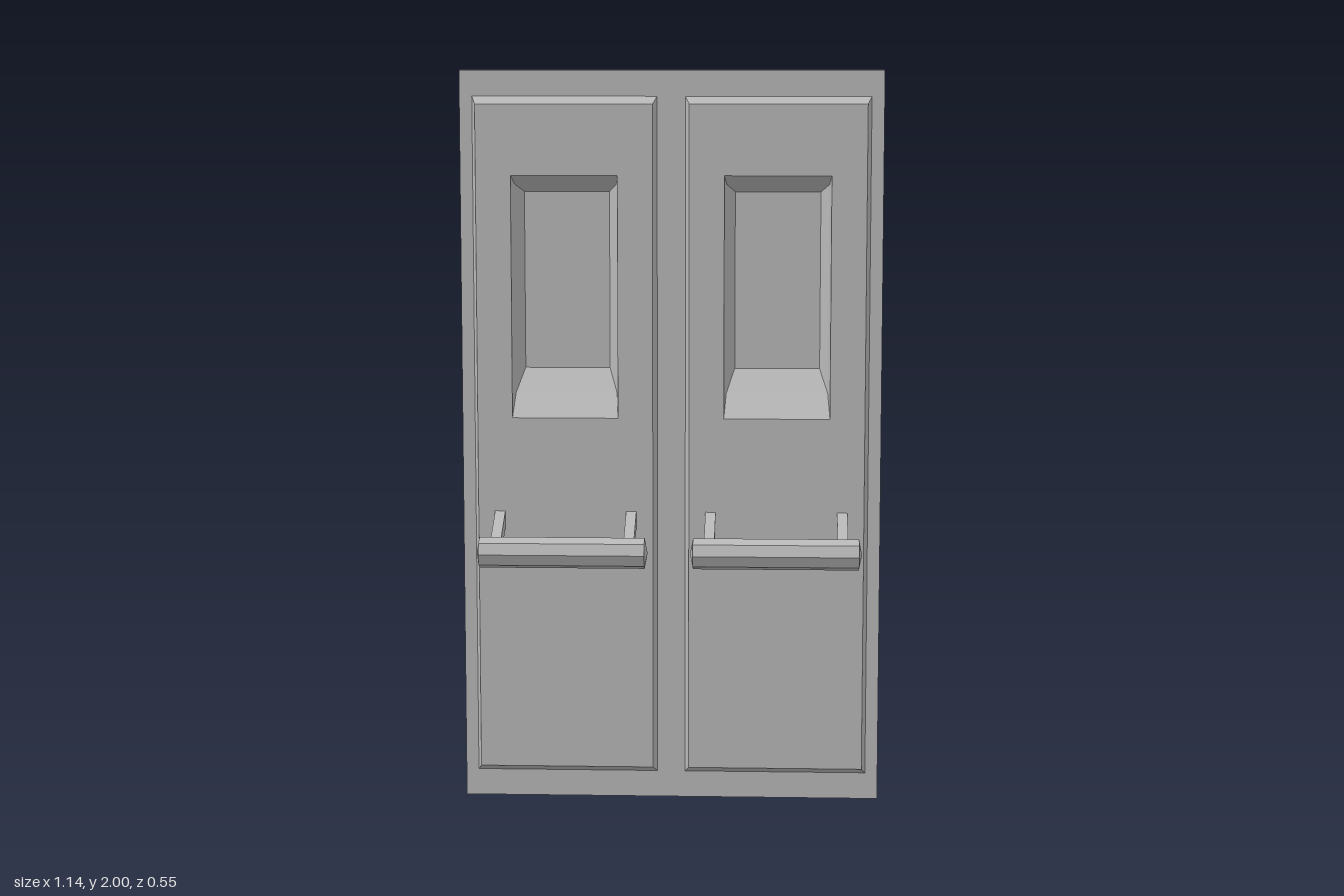
import * as THREE from 'three';

const grey = new THREE.MeshStandardMaterial({ color: 0xb8b8b8 });
grey.name = 'door grey';

const CORE_Z = 0.072, PANEL_Z = 0.105;
const LEAF_X = 0.287; // centre of each door leaf
const WINDOW = { w: 0.1435, y0: 1.064, y1: 1.72 };

function add(parent, name, geometry) {
  const mesh = new THREE.Mesh(geometry, grey);
  mesh.name = name;
  parent.add(mesh);
  return mesh;
}

// Anticlockwise corners of a rectangle centred on x = cx
const corners = (cx, w, y0, y1) => [[cx - w, y0], [cx + w, y0], [cx + w, y1], [cx - w, y1]];
const points = c => c.map(([x, y]) => new THREE.Vector2(x, y));

function shapeWithHoles(outer, holes) {
  const shape = new THREE.Shape(points(outer));
  for (const h of holes) shape.holes.push(new THREE.Path(points(h).reverse()));
  return shape;
}

// Joins successive rectangles { w, y0, y1, z } with flat quads
function loft(rings, capped) {
  const pos = [];
  const loops = rings.map(r => corners(0, r.w, r.y0, r.y1).map(([x, y]) => [x, y, r.z]));
  const quad = (a, b, c, d) => pos.push(...a, ...b, ...c, ...a, ...c, ...d);
  for (let i = 0; i + 1 < loops.length; i++) {
    for (let k = 0; k < 4; k++) {
      const n = (k + 1) % 4;
      quad(loops[i][k], loops[i][n], loops[i + 1][n], loops[i + 1][k]);
    }
  }
  if (capped) quad(...loops[loops.length - 1]);
  const g = new THREE.BufferGeometry();
  g.setAttribute('position', new THREE.Float32BufferAttribute(pos, 3));
  g.computeVertexNormals();
  return g;
}

// Octagonal push bar with shallow pointed ends, on two sloping arms
function makeHandle() {
  const handle = new THREE.Group();
  handle.name = 'handle';
  const profile = [[0, -0.23], [0.042, -0.222], [0.042, 0.222], [0, 0.23]];
  const lathe = new THREE.LatheGeometry(profile.map(([r, y]) => new THREE.Vector2(r, y)), 8);
  const barGeo = lathe.toNonIndexed();
  barGeo.computeVertexNormals();
  barGeo.rotateZ(Math.PI / 2);
  add(handle, 'pushBar', barGeo).position.set(0, 0.716, 0.231);

  // Arm side profile, drawn as (depth, height)
  const arm = new THREE.Shape(points([[0.095, 0.766], [0.222, 0.706], [0.235, 0.746], [0.095, 0.812]]));
  for (const s of [-1, 1]) {
    const g = new THREE.ExtrudeGeometry(arm, { depth: 0.028, bevelEnabled: false });
    g.translate(0, 0, -0.014);
    g.rotateY(-Math.PI / 2);
    add(handle, 'handleArm', g).position.x = s * 0.179;
  }
  return handle;
}

// One raised panel with its recessed window and handle
function makeLeaf() {
  const leaf = new THREE.Group();
  leaf.name = 'doorLeaf';
  const front = { w: 0.238, y0: 0.092, y1: 1.91, z: PANEL_Z };
  add(leaf, 'panelBevel', loft([{ w: 0.249, y0: 0.073, y1: 1.93, z: CORE_Z }, front]));

  const face = shapeWithHoles(corners(0, front.w, front.y0, front.y1),
    [corners(0, WINDOW.w, WINDOW.y0, WINDOW.y1)]);
  add(leaf, 'panelFace', new THREE.ShapeGeometry(face)).position.z = PANEL_Z;

  // Recess steps inward to the pane, with a steep sloping sill
  add(leaf, 'windowRecess', loft([
    { ...WINDOW, z: PANEL_Z },
    { w: 0.138, y0: 1.127, y1: 1.694, z: 0.05 },
    { w: 0.116, y0: 1.19, y1: 1.672, z: 0.002 },
  ], true));
  leaf.add(makeHandle());
  return leaf;
}

export function createModel() {
  const model = new THREE.Group();
  model.name = 'doubleDoor';

  // Frame slab, open behind both windows
  const slab = shapeWithHoles(corners(0, 0.57, 0, 2),
    [-1, 1].map(s => corners(s * LEAF_X, WINDOW.w, WINDOW.y0, WINDOW.y1)));
  const slabGeo = new THREE.ExtrudeGeometry(slab, { depth: CORE_Z * 2, bevelEnabled: false });
  slabGeo.translate(0, 0, -CORE_Z);
  add(model, 'frame', slabGeo);

  // The same pair of leaves on the front and the back
  for (const turn of [0, Math.PI]) {
    const side = new THREE.Group();
    side.name = turn ? 'backSide' : 'frontSide';
    for (const s of [-1, 1]) {
      const leaf = makeLeaf();
      leaf.position.x = s * LEAF_X;
      side.add(leaf);
    }
    side.rotation.y = turn;
    model.add(side);
  }
  return model;
}
